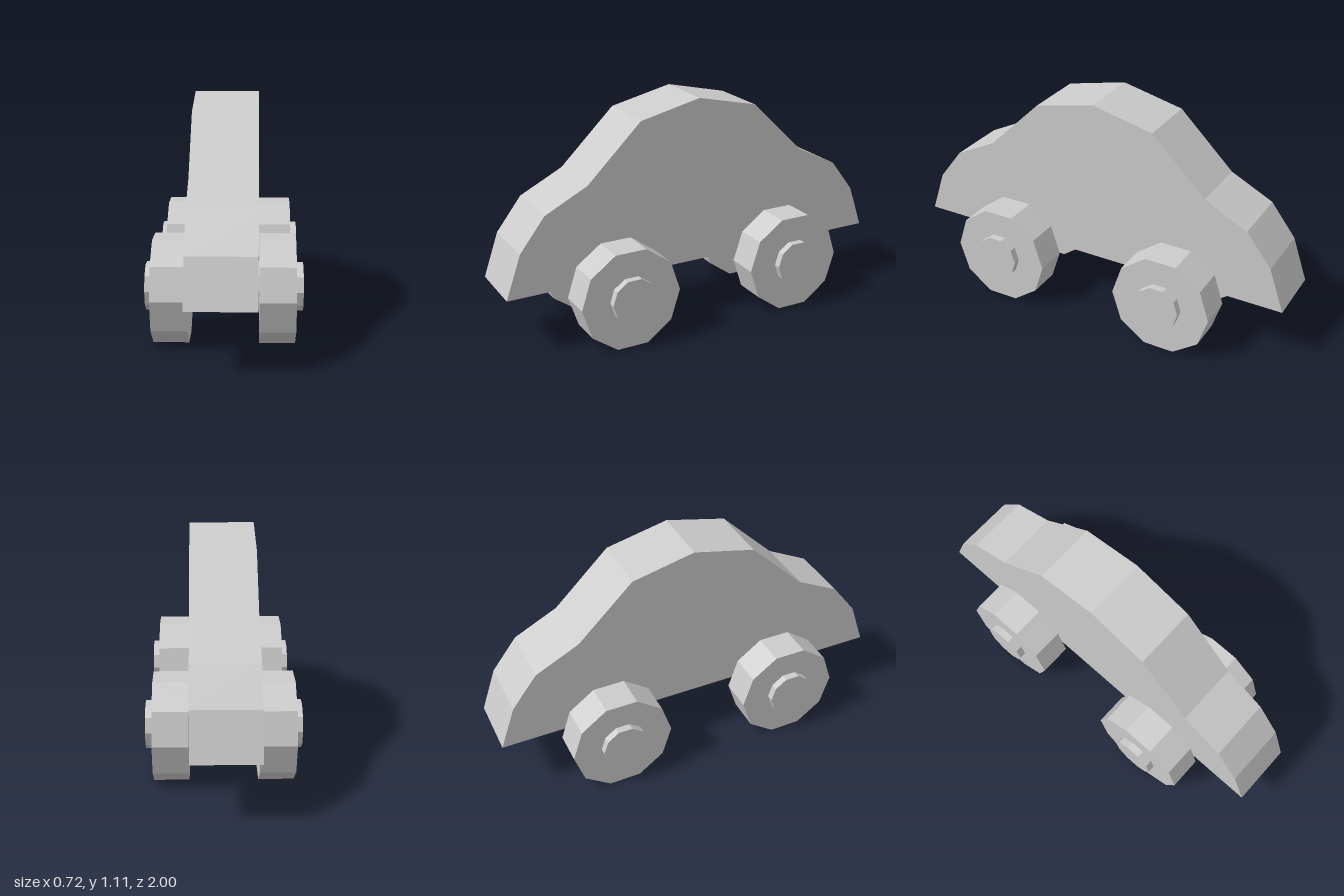
import * as THREE from 'three';

const material = new THREE.MeshStandardMaterial({ color: 0xcccccc, flatShading: true });

// Ten-sided disc or rod lying along x
function rod(name, radius, length, x, y, z) {
  const geometry = new THREE.CylinderGeometry(radius, radius, length, 10);
  geometry.rotateZ(Math.PI / 2);
  const mesh = new THREE.Mesh(geometry, material);
  mesh.name = name;
  mesh.position.set(x, y, z);
  return mesh;
}

// Flat car silhouette, mirrored front to back and extruded across x
function createBody() {
  const width = 0.31;
  const half = [[1, 0.29], [0.925, 0.505], [0.8, 0.667], [0.585, 0.775], [0.31, 1.042]];
  const mirrored = half.map(([z, y]) => [-z, y]).reverse();
  const outline = [...half, [0, 1.113], ...mirrored].map(([z, y]) => new THREE.Vector2(z, y));
  const geometry = new THREE.ExtrudeGeometry(new THREE.Shape(outline), { depth: width, bevelEnabled: false });
  geometry.translate(0, 0, -width / 2);
  geometry.rotateY(-Math.PI / 2);
  const mesh = new THREE.Mesh(geometry, material);
  mesh.name = 'body';
  return mesh;
}

export function createModel() {
  const model = new THREE.Group();
  model.name = 'toyCar';
  model.add(createBody());

  // Two axles, each with a wheel on both sides
  for (const [end, z] of [['front', 0.453], ['rear', -0.453]]) {
    model.add(rod(`${end}Axle`, 0.112, 0.722, 0, 0.25, z));
    for (const [side, sign] of [['Left', 1], ['Right', -1]]) {
      model.add(rod(`${end}${side}Wheel`, 0.253, 0.165, sign * 0.2425, 0.242, z));
    }
  }
  return model;
}
